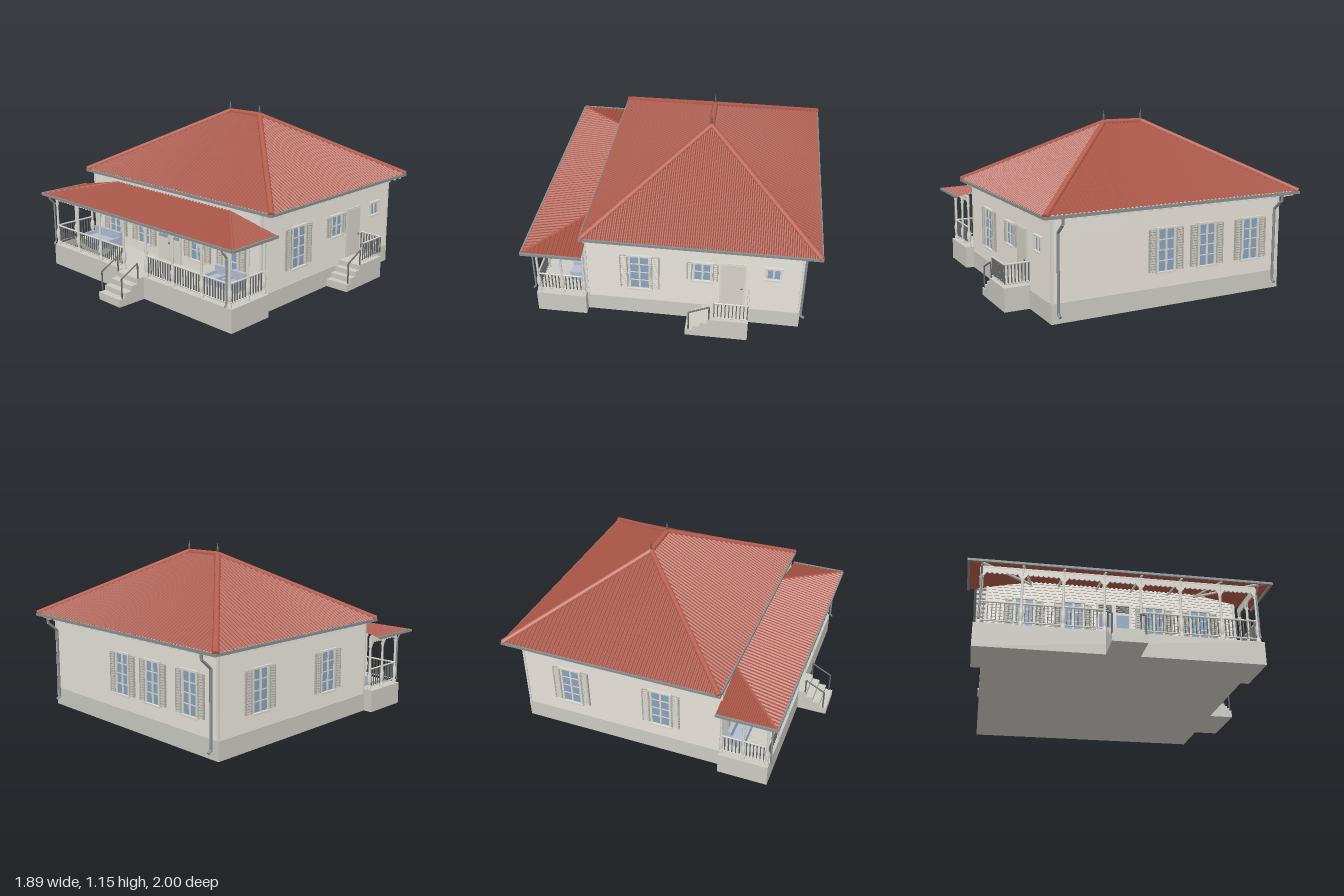
import * as THREE from 'three';

const V = (x, y, z) => new THREE.Vector3(x, y, z);
const mat = (color, extra = {}) => new THREE.MeshStandardMaterial({ color, ...extra });
const M = {
  wall: mat(0xd6d2ca, { flatShading: true }),
  stone: mat(0xcbcac3),
  trim: mat(0xdad8d0),
  shutter: mat(0xb4b2a9),
  glass: mat(0x8ba3bd),
  roof: mat(0xa85445, { flatShading: true, side: THREE.DoubleSide }),
  cap: mat(0xb95f50),
  metal: mat(0x8a8f90),
  iron: mat(0x66686a),
  cushion: mat(0xb4bccf),
};

function add(parent, name, geo, m, x = 0, y = 0, z = 0) {
  const mesh = new THREE.Mesh(geo, m);
  mesh.name = name;
  mesh.position.set(x, y, z);
  parent.add(mesh);
  return mesh;
}
// Box given by its minimum and maximum corners
const box = (p, name, m, x0, x1, y0, y1, z0, z1) =>
  add(p, name, new THREE.BoxGeometry(x1 - x0, y1 - y0, z1 - z0), m, (x0 + x1) / 2, (y0 + y1) / 2, (z0 + z1) / 2);
// Round bar between two points
function rod(p, name, m, a, b, r, sides = 6) {
  const d = b.clone().sub(a);
  const mesh = add(p, name, new THREE.CylinderGeometry(r, r, d.length(), sides), m);
  mesh.position.copy(a).add(b).multiplyScalar(0.5);
  mesh.quaternion.setFromUnitVectors(V(0, 1, 0), d.normalize());
  return mesh;
}
const pipe = (p, name, m, pts, r) => pts.slice(1).forEach((b, i) => rod(p, name, m, pts[i], b, r, 8));
function group(p, name) {
  const g = new THREE.Group();
  g.name = name;
  p.add(g);
  return g;
}

// Ribbed roof slope on the eave A-B; its top edge runs from fraction u0 to u1
function slope(p, name, A, B, up, u0, u1, ribs) {
  const n = B.clone().sub(A).cross(up).normalize();
  const pos = [], idx = [], steps = ribs * 4;
  for (let i = 0; i <= steps; i++) {
    const u = i / steps;
    const t = Math.min(1, u0 > 0 ? u / u0 : 1, u1 < 1 ? (1 - u) / (1 - u1) : 1);
    const e = A.clone().lerp(B, u).addScaledVector(n, i % 4 > 1 ? 0.008 : 0);
    pos.push(...e.toArray(), ...e.clone().addScaledVector(up, t).toArray());
    const k = i * 2;
    if (i < steps) idx.push(k, k + 2, k + 1, k + 2, k + 3, k + 1);
  }
  const g = new THREE.BufferGeometry();
  g.setAttribute('position', new THREE.Float32BufferAttribute(pos, 3));
  g.setIndex(idx);
  g.computeVertexNormals();
  add(p, name, g, M.roof);
}

// Window facing +z, centred on its own origin
function windowUnit(w, h, sw, rows) {
  const g = new THREE.Group();
  const a = w / 2, b = h / 2;
  g.name = 'window';
  box(g, 'glass', M.glass, -a, a, -b, b, -0.01, 0.006);
  for (const s of [-1, 1]) {
    box(g, 'jamb', M.trim, s * a - 0.007, s * a + 0.007, -b, b, -0.01, 0.014);
    if (!sw) continue;
    const c = s * (a + 0.01 + sw / 2);
    box(g, 'shutterPanel', M.shutter, c - sw / 2, c + sw / 2, -b, b, 0, 0.008);
    for (const e of [-1, 1]) {
      const x = c + e * (sw / 2 - 0.004);
      box(g, 'shutterStile', M.shutter, x - 0.004, x + 0.004, -b, b, 0, 0.015);
    }
    const slats = Math.round(h / 0.016);
    for (let i = 0; i < slats; i++) {
      const slat = add(g, 'louvre', new THREE.BoxGeometry(sw - 0.012, 0.011, 0.003), M.shutter, c, -b + (i + 0.5) * h / slats, 0.011);
      slat.rotation.x = -0.6;
    }
  }
  box(g, 'mullion', M.trim, -0.006, 0.006, -b, b, 0, 0.012);
  for (let i = 1; i < rows; i++) box(g, 'glazingBar', M.trim, -a, a, -b + i * h / rows - 0.003, -b + i * h / rows + 0.003, 0, 0.01);
  box(g, 'sill', M.trim, -a - 0.014, a + 0.014, -b - 0.012, -b, -0.01, 0.024);
  box(g, 'lintel', M.trim, -a - 0.014, a + 0.014, b, b + 0.012, -0.01, 0.02);
  return g;
}

// Straight balustrade at floor height y
function railing(p, x0, z0, x1, z1, y = 0.15) {
  const g = group(p, 'railing');
  const n = Math.max(2, Math.round(Math.hypot(x1 - x0, z1 - z0) / 0.023));
  rod(g, 'topRail', M.trim, V(x0, y + 0.14, z0), V(x1, y + 0.14, z1), 0.006);
  rod(g, 'bottomRail', M.trim, V(x0, y + 0.022, z0), V(x1, y + 0.022, z1), 0.005);
  for (let i = 0; i <= n; i++) {
    const x = x0 + (x1 - x0) * i / n, z = z0 + (z1 - z0) * i / n;
    box(g, 'baluster', M.iron, x - 0.003, x + 0.003, y + 0.02, y + 0.14, z - 0.003, z + 0.003);
  }
}

// Beam with a scalloped board hanging below it
function valance(p, x0, z0, x1, z1) {
  const L = Math.hypot(x1 - x0, z1 - z0), n = Math.max(3, Math.round(L / 0.03)), w = L / n;
  const s = new THREE.Shape();
  s.moveTo(0, 0.52);
  s.lineTo(0, 0.45);
  for (let i = 0; i < n; i++) {
    const low = y => (i === 0 || i === n - 1 ? y - 0.012 : y);
    s.quadraticCurveTo((i + 0.5) * w, low(0.462), (i + 1) * w, i === n - 1 ? 0.45 : 0.482);
  }
  s.lineTo(L, 0.52);
  const m = add(p, 'valance', new THREE.ExtrudeGeometry(s, { depth: 0.008, bevelEnabled: false, curveSegments: 4 }), M.trim, x0, 0, z0);
  m.rotation.y = -Math.atan2(z1 - z0, x1 - x0);
  rod(p, 'porchBeam', M.trim, V(x0, 0.512, z0), V(x1, 0.512, z1), 0.012, 4);
}

export function createModel() {
  const house = new THREE.Group();
  house.name = 'house';
  const X0 = -0.82, X1 = 0.775, Z0 = -0.895, Z1 = 0.473, CX = (X0 + X1) / 2, CZ = (Z0 + Z1) / 2;

  // Plinth, porch floor and overlapping wall boards
  box(house, 'plinth', M.stone, X0 - 0.01, X1 + 0.01, 0, 0.12, Z0 - 0.008, 0.48);
  box(house, 'porchFloor', M.stone, -0.89, 0.84, 0, 0.148, 0.475, 0.8);
  const walls = group(house, 'walls'), boards = 25, bh = 0.51 / boards;
  for (let i = 0; i < boards; i++) {
    const b = add(walls, 'wallBoard', new THREE.CylinderGeometry(Math.SQRT2, Math.SQRT2 * 1.007, bh, 4).rotateY(Math.PI / 4), M.wall, CX, 0.12 + (i + 0.5) * bh, CZ);
    b.scale.set((X1 - X0) / 2, 1, (Z1 - Z0) / 2);
  }
  for (const x of [X0, X1]) for (const z of [Z0, Z1]) box(walls, 'cornerBoard', M.trim, x - 0.008, x + 0.008, 0.12, 0.63, z - 0.007, z + 0.007);

  // Windows: x, y, z, turn, width, height, shutter width, pane rows
  const H = Math.PI / 2;
  const units = [[X1, 0.35, 0.125, H, 0.13, 0.26, 0.052, 4], [X1, 0.4, -0.275, H, 0.11, 0.135, 0.034, 2], [X1, 0.43, -0.718, H, 0.09, 0.08, 0, 1]];
  for (const x of [-0.588, -0.28, 0.24, 0.537]) units.push([x, 0.345, Z1, 0, 0.12, 0.25, 0.05, 4]);
  for (const x of [0.03, -0.265, -0.597]) units.push([x, 0.35, Z0, 2 * H, 0.12, 0.26, 0.05, 4]);
  for (const z of [0.07, -0.56]) units.push([X0, 0.35, z, -H, 0.13, 0.26, 0.052, 4]);
  for (const [x, y, z, turn, w, h, sw, rows] of units) {
    const u = windowUnit(w, h, sw, rows);
    u.position.set(x, y, z);
    u.rotation.y = turn;
    house.add(u);
  }

  // Double front door with louvred transoms, and the plain side door
  const door = group(house, 'frontDoor');
  box(door, 'doorFrame', M.trim, -0.13, 0.09, 0.148, 0.49, 0.47, 0.483);
  for (const c of [-0.076, 0.036]) {
    box(door, 'doorLeaf', M.trim, c - 0.052, c + 0.052, 0.15, 0.415, 0.48, 0.489);
    box(door, 'doorGlass', M.glass, c - 0.04, c + 0.04, 0.31, 0.405, 0.48, 0.491);
    for (let i = 0; i < 4; i++) box(door, 'transomSlat', M.iron, c - 0.042, c + 0.042, 0.427 + i * 0.013, 0.434 + i * 0.013, 0.48, 0.49);
  }
  add(door, 'doorKnob', new THREE.SphereGeometry(0.006, 8, 6), M.iron, -0.015, 0.28, 0.495);
  box(house, 'sideDoorFrame', M.trim, X1 - 0.01, X1 + 0.01, 0.148, 0.485, -0.55, -0.385);
  box(house, 'sideDoor', M.wall, X1, X1 + 0.014, 0.15, 0.475, -0.54, -0.395);
  add(house, 'sideDoorKnob', new THREE.SphereGeometry(0.006, 8, 6), M.iron, X1 + 0.018, 0.29, -0.525);

  // Main hipped roof with hip caps, finials, soffit, rafter tails and gutters
  const roof = group(house, 'mainRoof');
  const [rx0, rx1, rz0, rz1, ey, ry, rz] = [-0.9, 0.855, -0.99, 0.48, 0.645, 1.068, -0.255];
  const L = V(-0.16, ry, rz), R = V(0.115, ry, rz), W = rx1 - rx0, ua = (L.x - rx0) / W, ub = (R.x - rx0) / W;
  const c = { fl: V(rx0, ey, rz1), fr: V(rx1, ey, rz1), bl: V(rx0, ey, rz0), br: V(rx1, ey, rz0) };
  slope(roof, 'frontSlope', c.fl, c.fr, V(0, ry - ey, rz - rz1), ua, ub, 64);
  slope(roof, 'backSlope', c.br, c.bl, V(0, ry - ey, rz - rz0), 1 - ub, 1 - ua, 64);
  slope(roof, 'rightSlope', c.fr, c.br, V(R.x - rx1, ry - ey, 0), 0.5, 0.5, 54);
  slope(roof, 'leftSlope', c.bl, c.fl, V(L.x - rx0, ry - ey, 0), 0.5, 0.5, 54);
  for (const [a, b] of [[c.fl, L], [c.bl, L], [c.fr, R], [c.br, R], [L, R]]) rod(roof, 'ridgeCap', M.cap, a, b, 0.019, 8);
  const finial = [[0, 0], [0.01, 0], [0.005, 0.02], [0.008, 0.03], [0.004, 0.037], [0, 0.065]].map(q => new THREE.Vector2(...q));
  for (const e of [L, R]) {
    add(roof, 'capEnd', new THREE.SphereGeometry(0.019, 8, 6), M.cap, e.x, e.y, e.z);
    add(roof, 'finial', new THREE.LatheGeometry(finial, 8), M.iron, e.x, ry + 0.014, e.z);
  }
  box(roof, 'soffit', M.trim, rx0, rx1, 0.632, 0.64, rz0, rz1);
  for (let z = -0.95; z < 0.45; z += 0.07) {
    box(roof, 'rafterTail', M.trim, rx0 + 0.01, X0, 0.612, 0.632, z - 0.007, z + 0.007);
    box(roof, 'rafterTail', M.trim, X1, rx1 - 0.01, 0.612, 0.632, z - 0.007, z + 0.007);
  }
  for (let x = X0 + 0.02; x < X1; x += 0.07) box(roof, 'rafterTail', M.trim, x - 0.007, x + 0.007, 0.612, 0.632, rz0 + 0.01, Z0);
  for (const x of [rx0, rx1]) box(roof, 'gutter', M.metal, x - 0.008, x + 0.008, 0.628, 0.645, -1, 0.488);
  for (const z of [-0.992, 0.482]) box(roof, 'gutter', M.metal, rx0, rx1, 0.628, 0.645, z - 0.008, z + 0.008);
  for (const x of [X0 + 0.04, X1 - 0.03])
    pipe(house, 'downpipe', M.metal, [V(x, 0.63, -0.985), V(x, 0.59, -0.98), V(x, 0.53, -0.912), V(x, 0.06, -0.912), V(x, 0.045, -0.935)], 0.009);

  // Porch roof, hipped at both ends
  const porch = group(house, 'porch');
  const [px0, px1, pz, py, run, rise] = [-0.935, 0.895, 0.85, 0.52, 0.38, 0.08], pu = run / (px1 - px0);
  slope(porch, 'porchFrontSlope', V(px0, py, pz), V(px1, py, pz), V(0, rise, -run), pu, 1 - pu, 64);
  slope(porch, 'porchRightSlope', V(px1, py, pz), V(px1, py, pz - run), V(-run, rise, 0), 1, 1, 14);
  slope(porch, 'porchLeftSlope', V(px0, py, pz - run), V(px0, py, pz), V(run, rise, 0), 0, 0, 14);
  for (const [x, s] of [[px0, 1], [px1, -1]]) {
    rod(porch, 'porchHip', M.cap, V(x, py, pz), V(x + s * run, py + rise, pz - run), 0.009);
    box(porch, 'porchGutter', M.metal, x - s * 0.004 - 0.007, x - s * 0.004 + 0.007, 0.512, 0.528, 0.47, 0.855);
  }
  box(porch, 'porchGutter', M.metal, px0, px1, 0.511, 0.526, 0.848, 0.86);

  // Turned columns, valances and railings
  const cols = [-0.86, -0.62, -0.375, -0.13, 0.09, 0.335, 0.585, 0.81], fz = 0.785;
  const turned = [[0.014, 0], [0.014, 0.02], [0.009, 0.025], [0.009, 0.04], [0.015, 0.06], [0.015, 0.1], [0.008, 0.12], [0.008, 0.29], [0.014, 0.3], [0.009, 0.31], [0.012, 0.36]].map(q => new THREE.Vector2(...q));
  const spots = cols.map(x => [x, fz]);
  for (const x of [cols[0], cols[7]]) spots.push([x, 0.63], [x, 0.487]);
  for (const [x, z] of spots) add(porch, 'column', new THREE.LatheGeometry(turned, 10), M.trim, x, 0.148, z);
  for (let i = 0; i < 7; i++) {
    valance(porch, cols[i], fz, cols[i + 1], fz);
    if (i !== 3) railing(porch, cols[i], fz, cols[i + 1], fz);
  }
  for (const x of [cols[0], cols[7]]) {
    for (const [a, b] of [[0.487, 0.63], [0.63, fz]]) {
      valance(porch, x, a, x, b);
      railing(porch, x, a, x, b);
    }
    pipe(porch, 'porchDownpipe', M.metal, [V(x, 0.515, 0.85), V(x, 0.495, 0.845), V(x, 0.455, 0.81), V(x, 0.18, 0.81), V(x, 0.16, 0.825)], 0.006);
  }
  for (const x of cols) rod(porch, 'porchRafter', M.trim, V(Math.max(-0.55, Math.min(0.51, x)), 0.585, 0.475), V(x, 0.515, 0.835), 0.008, 4);

  // Front and side steps
  const steps = group(house, 'steps');
  [0.05, 0.082, 0.115, 0.148].forEach((y, i) => {
    box(steps, 'frontStep', M.stone, -0.125, 0.08, 0, y, 0.79, 1 - i * 0.049);
    box(steps, 'sideStep', M.stone, X1, 0.945, 0, y, -0.58, -0.185 - i * 0.046);
  });
  for (const x of [-0.12, 0.075])
    pipe(steps, 'frontHandrail', M.iron, [V(x, 0.05, 0.975), V(x, 0.18, 0.975), V(x, 0.25, 0.845), V(x, 0.13, 0.845)], 0.005);
  pipe(steps, 'sideHandrail', M.iron, [V(0.938, 0.05, -0.205), V(0.938, 0.19, -0.205), V(0.938, 0.25, -0.335), V(0.938, 0.13, -0.335)], 0.005);
  railing(steps, 0.938, -0.365, 0.938, -0.573);
  railing(steps, X1 + 0.01, -0.573, 0.938, -0.573);

  // Porch seating
  for (const [x0, x1] of [[-0.78, -0.5], [0.44, 0.55], [0.58, 0.69]]) {
    const seat = group(porch, 'seat');
    box(seat, 'seatCushion', M.cushion, x0, x1, 0.148, 0.195, 0.5, 0.61);
    box(seat, 'seatBack', M.cushion, x0, x1, 0.195, 0.25, 0.5, 0.525);
    for (const x of [x0, x1 - 0.015]) box(seat, 'armrest', M.cushion, x, x + 0.015, 0.148, 0.215, 0.5, 0.61);
  }
  return house;
}
